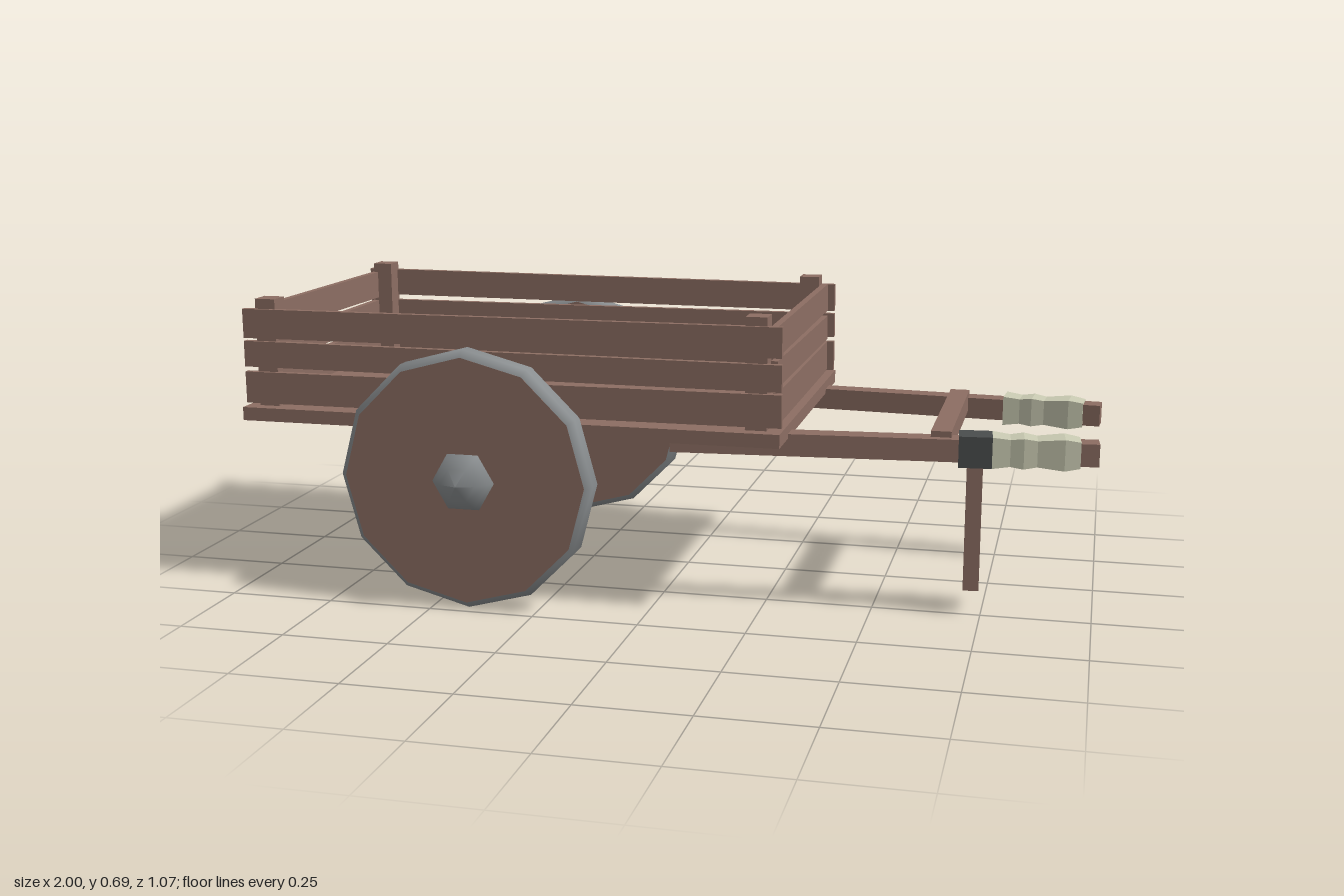
import * as THREE from 'three';
import { toCreasedNormals } from 'three/addons/utils/BufferGeometryUtils.js';

const material = (name, color) => {
  const m = new THREE.MeshStandardMaterial({ color });
  m.name = name;
  return m;
};

export function createModel() {
  const cart = new THREE.Group();
  cart.name = 'handcart';
  const wood = material('wood', 0x8d6e63);
  const metal = material('grey metal', 0x8a8e90);
  const iron = material('dark iron', 0x4a4d4d);
  const cloth = material('cream wrap', 0xc9cab2);

  const add = (parent, name, geometry, mat) => {
    const mesh = new THREE.Mesh(geometry, mat);
    mesh.name = name;
    parent.add(mesh);
    return mesh;
  };
  // box given by its limits on each axis
  const box = (parent, name, mat, x0, x1, y0, y1, z0, z1) => {
    const mesh = add(parent, name, new THREE.BoxGeometry(x1 - x0, y1 - y0, z1 - z0), mat);
    mesh.position.set((x0 + x1) / 2, (y0 + y1) / 2, (z0 + z1) / 2);
    return mesh;
  };
  const lathe = (points, sides) =>
    new THREE.LatheGeometry(points.map(([r, h]) => new THREE.Vector2(r, h)), sides);

  // bed floor
  box(cart, 'bed', wood, -1, 0.305, 0.405, 0.437, -0.405, 0.405);

  // corner posts
  for (const x of [-0.97, 0.22]) {
    for (const z of [-0.374, 0.323]) {
      box(cart, 'cornerPost', wood, x, x + 0.05, 0.43, 0.695, z, z + 0.051);
    }
  }

  // side and end planks, slightly uneven
  const rows = [[0.445, 0.521], [0.53, 0.592], [0.603, 0.673]];
  rows.forEach(([y0, y1], i) => {
    const tilt = [0.002, -0.003, 0.003][i];
    for (const s of [-1, 1]) {
      const side = box(cart, 'sidePlank', wood, -1, 0.305, y0, y1, s * 0.375 - 0.008, s * 0.375 + 0.008);
      side.rotation.z = s * tilt;
      const x = s > 0 ? 0.282 : -0.967;
      const end = box(cart, 'endPlank', wood, x - 0.008, x + 0.008, y0, y1, -0.353, 0.353);
      end.rotation.x = s * tilt * 1.5;
    }
  });

  // tapered axle block under the bed
  const wedge = new THREE.Shape([
    new THREE.Vector2(-0.155, 0.406), new THREE.Vector2(-0.045, 0.265),
    new THREE.Vector2(0.045, 0.265), new THREE.Vector2(0.155, 0.406),
  ]);
  const block = add(cart, 'axleBlock',
    new THREE.ExtrudeGeometry(wedge, { depth: 0.164, bevelEnabled: false }), wood);
  block.position.set(-0.415, 0, -0.082);

  // six-sided axle
  const axleShape = new THREE.CylinderGeometry(0.035, 0.035, 0.86, 6).rotateY(Math.PI / 6).rotateX(Math.PI / 2);
  add(cart, 'axle', toCreasedNormals(axleShape, 0.3), wood).position.set(-0.415, 0.31, 0);

  // wheels: wooden disc faces, rounded metal tyre, domed hub
  for (const s of [-1, 1]) {
    const wheel = new THREE.Group();
    wheel.name = s > 0 ? 'frontWheel' : 'backWheel';
    wheel.position.set(-0.415, 0.306, s * 0.449);
    wheel.rotation.x = s * Math.PI / 2;
    cart.add(wheel);
    add(wheel, 'tyre', lathe([
      [0.288, -0.035], [0.299, -0.03], [0.305, -0.018], [0.305, 0.018], [0.299, 0.03], [0.288, 0.035],
    ], 12), metal);
    add(wheel, 'disc', new THREE.CylinderGeometry(0.289, 0.289, 0.07, 12), wood);
    add(wheel, 'hub', lathe([[0.075, 0.034], [0.066, 0.052], [0.042, 0.073], [0, 0.087]], 6).rotateY(Math.PI / 6), metal);
  }

  // converging handles with lumpy square wraps
  const radii = [0, 0.036, 0.031, 0.035, 0.03, 0.033, 0.036, 0.03, 0];
  const lengths = [0.735, 0.735, 0.775, 0.805, 0.835, 0.865, 0.895, 0.93, 0.93];
  const wrapShape = lathe(radii.map((r, i) => [r * Math.SQRT2, lengths[i]]), 4)
    .rotateY(Math.PI / 4).rotateZ(-Math.PI / 2).toNonIndexed();
  wrapShape.computeVertexNormals();
  for (const s of [-1, 1]) {
    const handle = new THREE.Group();
    handle.name = s > 0 ? 'frontHandle' : 'backHandle';
    handle.position.set(0.03, 0.39, s * 0.295);
    handle.rotation.y = s * 0.08;
    cart.add(handle);
    box(handle, 'shaft', wood, 0, 0.971, -0.026, 0.026, -0.026, 0.026);
    add(handle, 'wrap', wrapShape, cloth);
    if (s > 0) {
      // iron bracket and prop leg on one handle only
      box(handle, 'bracket', iron, 0.66, 0.735, -0.036, 0.036, -0.036, 0.036);
      box(handle, 'propLeg', wood, 0.68, 0.716, -0.33, -0.03, -0.017, 0.017);
    }
  }

  // crossbar between the handles
  box(cart, 'crossbar', wood, 0.625, 0.672, 0.382, 0.43, -0.25, 0.25);

  return cart;
}
